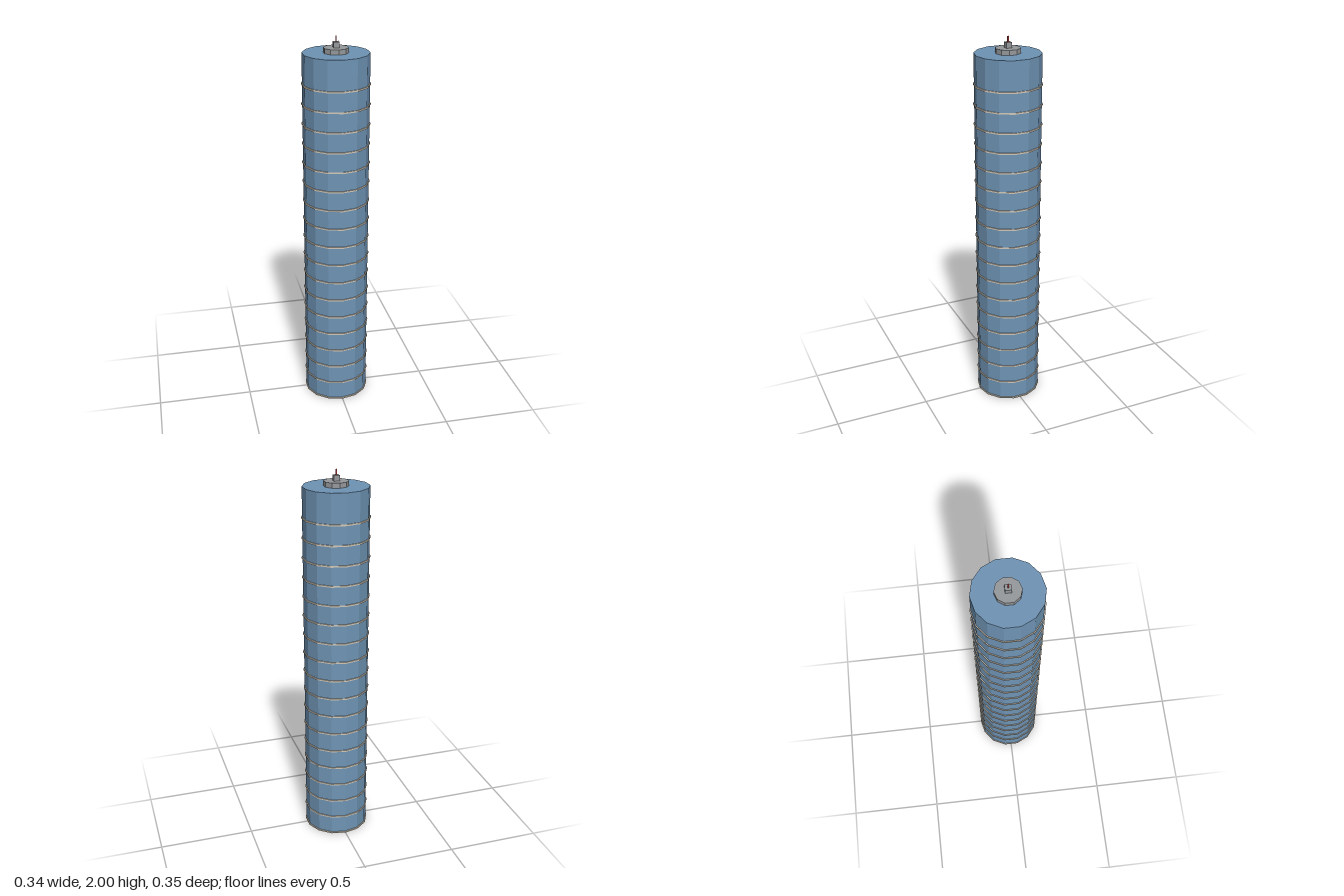
import * as THREE from 'three';

const paint = (color) => new THREE.MeshStandardMaterial({ color, flatShading: true });

export function createModel() {
  const tower = new THREE.Group();
  tower.name = 'roundTower';

  const glass = paint(0x6f94b5);
  const stone = paint(0xd2c8b8);
  const metal = paint(0x96999c);
  const red = paint(0xb03a36);

  // Adds a part whose underside sits at height y
  const add = (name, geometry, material, y, height) => {
    const mesh = new THREE.Mesh(geometry, material);
    mesh.name = name;
    mesh.position.y = y + height / 2;
    tower.add(mesh);
  };

  // Fourteen-sided glass shaft
  const roofY = 1.918;
  add('shaft', new THREE.CylinderGeometry(0.17, 0.17, roofY, 14), glass, 0, roofY);

  // Thin floor slabs projecting just past the glass
  const slabHeight = 0.008;
  const slab = new THREE.CylinderGeometry(0.175, 0.175, slabHeight, 14);
  for (let i = 0; i < 18; i++) {
    add(`floorSlab${i + 1}`, slab, stone, i * 0.1034, slabHeight);
  }

  // Rooftop plant room, antenna base and mast
  add('plantRoom', new THREE.CylinderGeometry(0.064, 0.064, 0.025, 10), metal, roofY, 0.025);
  add('antennaBase', new THREE.BoxGeometry(0.03, 0.028, 0.03), metal, 1.943, 0.028);
  add('antennaMast', new THREE.BoxGeometry(0.006, 0.029, 0.006), red, 1.971, 0.029);

  return tower;
}
